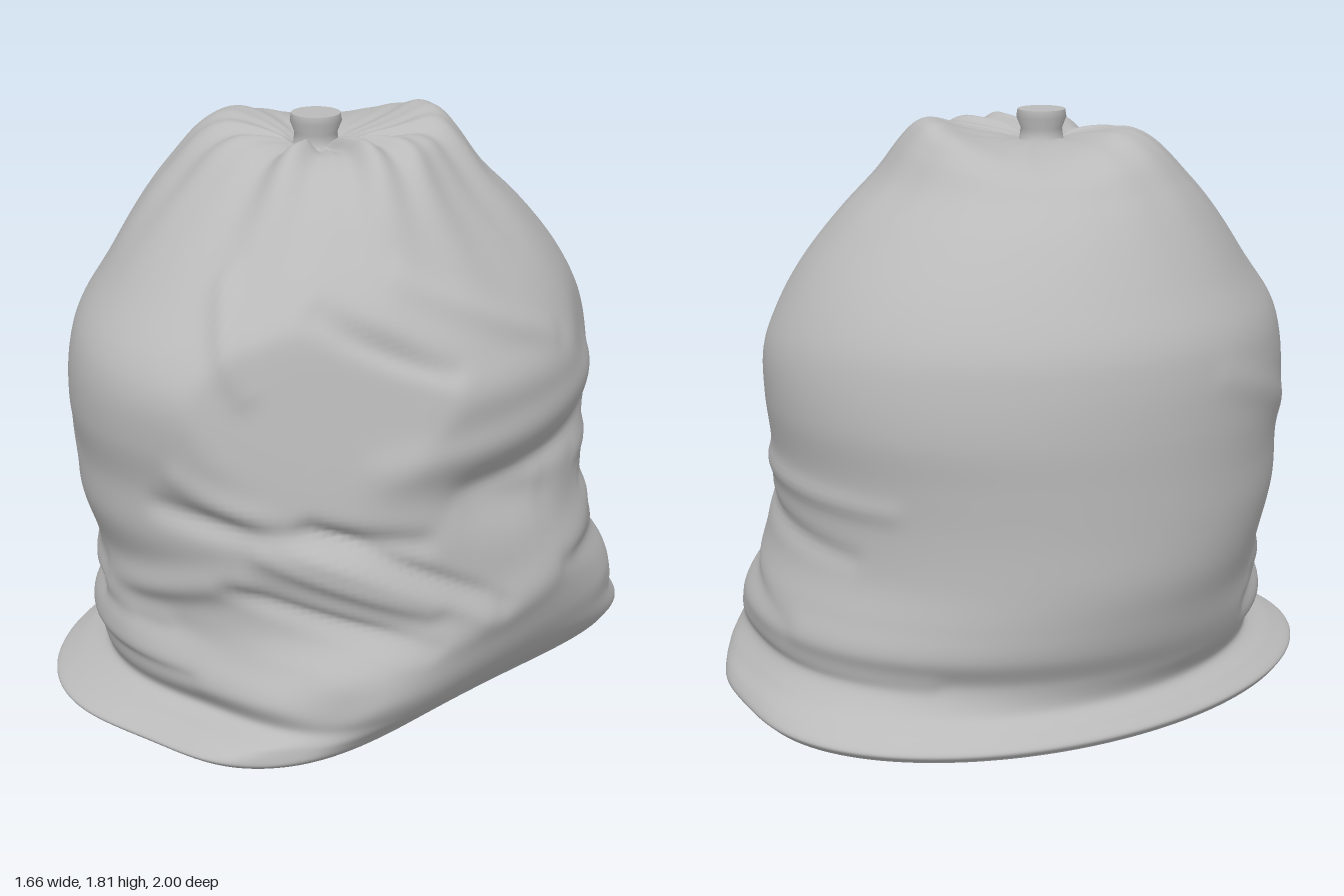
import * as THREE from 'three';

const SIDES = 200, ROWS = 160;
const KNOT = { x: 0.02, z: 0.14 };

// Cross-sections, bottom to top: y, xMin, xMax, zMin, zMax
const RINGS = [
  [0.005, -0.78, 0.58, -0.98, 0.98],
  [0.03, -0.79, 0.61, -1.0, 1.0],
  [0.065, -0.75, 0.64, -0.97, 0.94],
  [0.11, -0.70, 0.69, -0.91, 0.84],
  [0.19, -0.73, 0.75, -0.85, 0.88],
  [0.28, -0.77, 0.79, -0.88, 0.88],
  [0.38, -0.80, 0.81, -0.85, 0.85],
  [0.50, -0.83, 0.80, -0.81, 0.86],
  [0.65, -0.84, 0.78, -0.80, 0.91],
  [0.80, -0.84, 0.77, -0.81, 0.92],
  [0.95, -0.84, 0.78, -0.83, 0.95],
  [1.10, -0.83, 0.80, -0.82, 0.95],
  [1.22, -0.80, 0.75, -0.78, 0.90],
  [1.36, -0.72, 0.67, -0.69, 0.78],
  [1.50, -0.63, 0.58, -0.56, 0.65],
  [1.61, -0.55, 0.50, -0.43, 0.54],
  [1.70, -0.47, 0.41, -0.35, 0.44],
  [1.74, -0.37, 0.32, -0.28, 0.36],
  [1.745, -0.24, 0.24, -0.17, 0.29],
  [1.735, -0.12, 0.15, -0.03, 0.24],
  [1.715, -0.05, 0.09, 0.07, 0.21],
];

// Creases and ridges: angle0, y0, angle1, y1, width, height (0 deg = front, 90 = +x)
const FOLDS = [
  [-62, 0.27, -22, 0.34, 0.035, -0.03],
  [-55, 0.40, 5, 0.36, 0.04, 0.02],
  [-60, 0.17, 15, 0.20, 0.03, -0.02],
  [-14, 0.42, 28, 0.55, 0.05, 0.03],
  [0, 0.33, 40, 0.25, 0.06, -0.025],
  [18, 0.86, 78, 0.42, 0.05, 0.03],
  [78, 0.77, 100, 0.70, 0.09, -0.045],
  [12, 0.76, 68, 0.66, 0.04, -0.035],
  [45, 0.73, 82, 0.42, 0.035, -0.035],
  [35, 0.64, 65, 0.45, 0.035, 0.025],
  [25, 0.52, 65, 0.33, 0.03, -0.025],
  [62, 0.90, 130, 1.0, 0.07, 0.025],
  [80, 0.80, 128, 0.85, 0.05, -0.03],
  [45, 1.36, 75, 1.18, 0.035, -0.03],
  [65, 1.44, 105, 1.20, 0.04, 0.02],
  [20, 1.42, 32, 1.15, 0.04, 0.025],
  [50, 0.28, 130, 0.56, 0.07, 0.02],
  [105, 0.45, 175, 0.30, 0.04, -0.02],
  [125, 0.62, 190, 0.55, 0.035, -0.018],
  [120, 0.74, 200, 0.72, 0.035, 0.015],
  [130, 0.22, 215, 0.20, 0.03, 0.015],
  [-85, 1.08, -25, 0.78, 0.05, 0.01],
];

// Flat pulled panels: angle, upward tilt, reach, at y
const PANELS = [[50, 0.15, 0.80, 0.95], [128, 0.2, 0.77, 1.05], [100, 0.8, 0.61, 1.42], [28, 0.75, 0.72, 1.42]];

const rad = THREE.MathUtils.degToRad;
const smooth = THREE.MathUtils.smoothstep;
const bell = (d, w) => Math.exp(-((d / w) ** 2));
const turn = (d) => ((d + 540) % 360 + 360) % 360 - 180; // wrap to -180..180

// Height of all folds at an angle and y
function foldHeight(deg, y) {
  let h = 0;
  for (const [a0, y0, a1, y1, w, height] of FOLDS) {
    const k = 0.0145; // arc length per degree
    const dx = (a1 - a0) * k, dy = y1 - y0;
    const px = (turn(deg - (a0 + a1) / 2) + (a1 - a0) / 2) * k, py = y - y0;
    const t = THREE.MathUtils.clamp((px * dx + py * dy) / (dx * dx + dy * dy), 0, 1);
    h += height * bell(Math.hypot(px - t * dx, py - t * dy), w) * (0.5 + 2 * t * (1 - t));
  }
  return h;
}

// Gathers running out from the tied neck, strongest on the front and +x
function gather(deg, row) {
  const a = rad(deg);
  const strength = 0.1 + 0.9 * bell(turn(deg - 45), 70);
  const fade = smooth(row, 12, 17.5) * (1 - smooth(row, 18.5, 20));
  const wave = Math.sin(5 * a + 1) + 0.7 * Math.sin(11 * a + 2.3) + 0.6 * Math.sin(18 * a);
  return fade * (0.019 * strength * wave - 0.04 * bell(turn(deg - 6), 11));
}

function bagPoint(deg, t, curveX, curveZ) {
  const [, x0, x1] = curveX.getPoint(t).toArray();
  const [y, z0, z1] = curveZ.getPoint(t).toArray();
  const a = rad(deg), row = t * (RINGS.length - 1);
  // squared-off corners of the base on the +x side, flatter body on the front of the -x side
  const corner = (1 - smooth(y, 0.05, 0.42)) *
    (0.24 * bell(turn(deg - 50), 23) + 0.16 * bell(turn(deg - 129), 22)) -
    0.06 * bell(turn(deg + 45), 32) * smooth(y, 0.15, 0.5) * (1 - smooth(y, 1.25, 1.6));
  const p = new THREE.Vector3(
    (x0 + x1) / 2 + (x1 - x0) / 2 * Math.sin(a) * (1 + corner), y,
    (z0 + z1) / 2 + (z1 - z0) / 2 * Math.cos(a) * (1 + corner));
  // two peaks beside the knot and a sloping shoulder behind it
  p.y += bell(row - 17, 1.2) * (0.055 * bell(turn(deg - 150), 42) + 0.03 * bell(turn(deg + 60), 38)) -
    0.045 * bell(row - 16.7, 1.5) * bell(turn(deg - 230), 40);
  // press the panels flat with a soft edge
  for (const [ang, tilt, reach, py] of PANELS) {
    const n = new THREE.Vector3(Math.sin(rad(ang)), tilt, Math.cos(rad(ang)));
    const over = n.dot(p) - reach - tilt * py;
    const press = (over + Math.hypot(over, 0.02)) / 2;
    if (over > -0.3) p.addScaledVector(n, -Math.min(press, 0.11) / n.lengthSq());
  }
  const out = p.clone().sub(new THREE.Vector3(0, 0.8, 0)).normalize();
  const lift = foldHeight(deg, y) * smooth(y, 0.06, 0.18) * (1 - smooth(row, 14.5, 16));
  return p.addScaledVector(out, lift + gather(deg, row));
}

function bagGeometry() {
  const curve = (i, j) => new THREE.CatmullRomCurve3(
    RINGS.map((r) => new THREE.Vector3(r[0], r[i], r[j])), false, 'catmullrom', 0.5);
  const curveX = curve(1, 2), curveZ = curve(3, 4);
  const pos = [], index = [];
  for (let i = 0; i <= ROWS; i++) {
    for (let j = 0; j < SIDES; j++) {
      pos.push(...bagPoint(j * 360 / SIDES, i / ROWS, curveX, curveZ).toArray());
      if (i === ROWS) continue;
      const k = (j + 1) % SIDES, r = i * SIDES, s = r + SIDES;
      index.push(r + j, r + k, s + k, r + j, s + k, s + j);
    }
  }
  const g = new THREE.BufferGeometry();
  g.setAttribute('position', new THREE.Float32BufferAttribute(pos, 3));
  g.setIndex(index);
  g.computeVertexNormals();
  return g;
}

export function createModel() {
  const group = new THREE.Group();
  group.name = 'tiedSack';
  const grey = new THREE.MeshStandardMaterial({ color: 0xbababa });
  grey.name = 'grey plastic';
  const add = (name, geometry) => {
    const mesh = new THREE.Mesh(geometry, grey);
    mesh.name = name;
    group.add(mesh);
    return mesh;
  };

  const bag = bagGeometry();
  add('sackBody', bag);

  // Flat underside, following the lowest ring
  const rim = bag.getAttribute('position');
  const outline = [];
  for (let j = 0; j < SIDES; j++) outline.push(new THREE.Vector2(rim.getX(j), rim.getZ(j)));
  const underside = new THREE.ShapeGeometry(new THREE.Shape(outline)).rotateX(Math.PI / 2);
  add('underside', underside).position.y = RINGS[0][0];

  // Tied neck with a flared end
  const profile = [[0.09, 1.68], [0.07, 1.72], [0.066, 1.75], [0.08, 1.785], [0.076, 1.81]];
  const neck = new THREE.LatheGeometry(profile.map(([r, y]) => new THREE.Vector2(r, y)), 32);
  add('tiedNeck', neck).position.set(KNOT.x, 0, KNOT.z);
  const cap = new THREE.CircleGeometry(0.076, 32).rotateX(-Math.PI / 2);
  add('neckEnd', cap).position.set(KNOT.x, 1.81, KNOT.z);
  return group;
}
